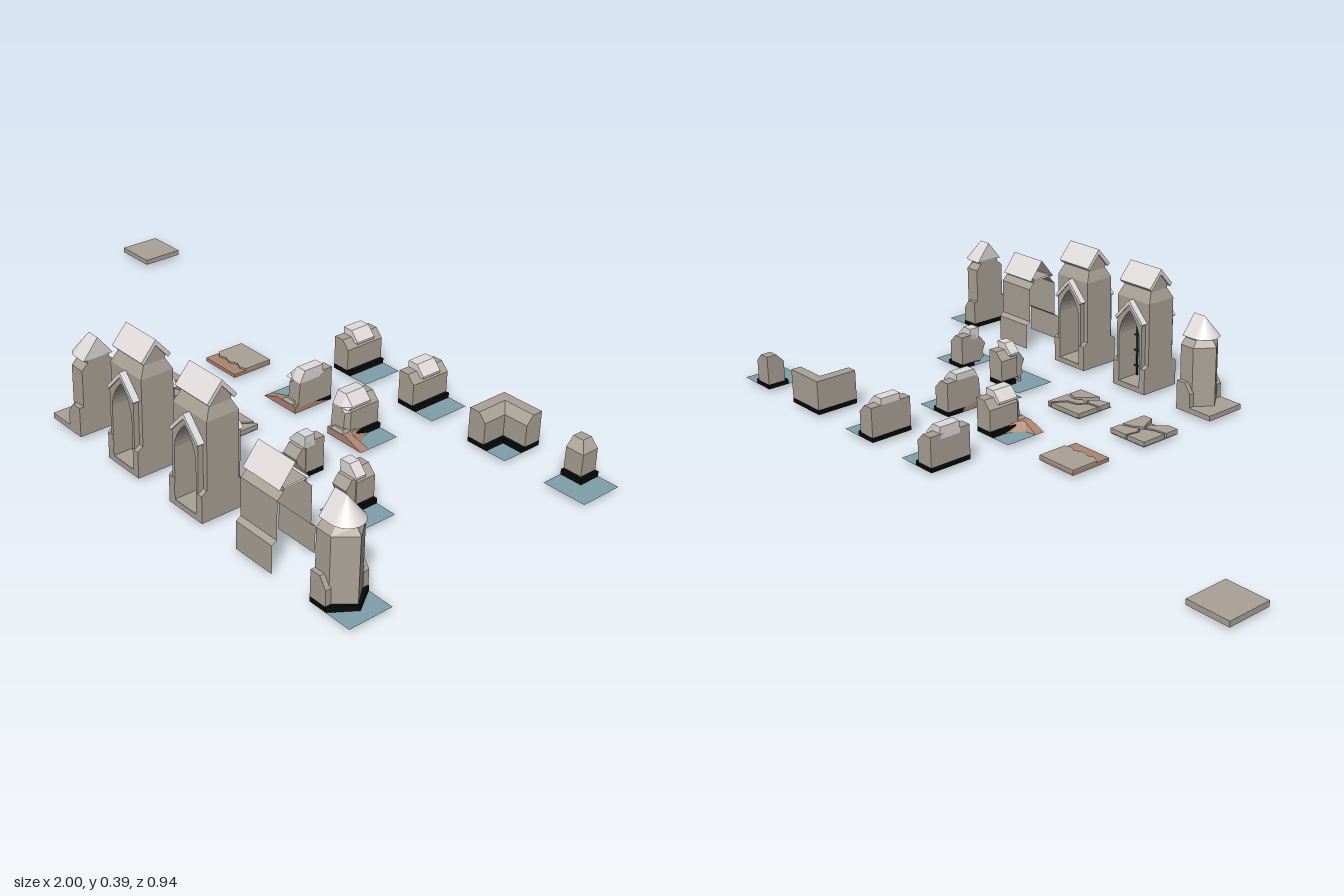
import * as THREE from 'three';

const H = 1 / 15; // half a tile
const mat = (color) => new THREE.MeshStandardMaterial({ color, flatShading: true, side: THREE.DoubleSide });
const stone = mat(0xaaa297), pale = mat(0xe2dcdc), black = mat(0x080808);
const water = mat(0x7f9faa), dirt = mat(0xac8570), iron = mat(0x2c2c2c);

function add(group, name, geometry, material = stone) {
  const mesh = new THREE.Mesh(geometry, material);
  mesh.name = name;
  group.add(mesh);
  return mesh;
}

// box given by its limits
function box(x0, x1, y0, y1, z0, z1) {
  return new THREE.BoxGeometry(x1 - x0, y1 - y0, z1 - z0)
    .translate((x0 + x1) / 2, (y0 + y1) / 2, (z0 + z1) / 2);
}

// skin through rings of [x, y, z] points
function loft(rings, { closed = true, bottom = true, top = true } = {}) {
  const out = [], n = rings[0].length;
  for (let r = 0; r < rings.length - 1; r++) {
    for (let i = 0; i < (closed ? n : n - 1); i++) {
      const j = (i + 1) % n, a = rings[r], b = rings[r + 1];
      out.push(...a[i], ...a[j], ...b[j], ...a[i], ...b[j], ...b[i]);
    }
  }
  const cap = (p) => {
    for (let i = 1; i < n - 1; i++) out.push(...p[0], ...p[i], ...p[i + 1]);
  };
  if (bottom) cap([...rings[0]].reverse());
  if (top) cap(rings[rings.length - 1]);
  const g = new THREE.BufferGeometry();
  g.setAttribute('position', new THREE.Float32BufferAttribute(out, 3));
  g.computeVertexNormals();
  return g;
}
const rect = (x0, x1, z0, z1, y) => [[x0, y, z1], [x1, y, z1], [x1, y, z0], [x0, y, z0]];
const ring = (points, y) => points.map(([x, z]) => [x, y, z]);

const shapeOf = (points) => new THREE.Shape(points.map(([x, y]) => new THREE.Vector2(x, y)));
const extrudeZ = (shape, z0, z1) =>
  new THREE.ExtrudeGeometry(shape, { depth: z1 - z0, bevelEnabled: false, curveSegments: 6 }).translate(0, 0, z0);
// profile of [z, y] points drawn out along x
const extrudeX = (points, x0, x1) =>
  extrudeZ(shapeOf(points.map(([z, y]) => [-z, y])), x0, x1).rotateY(Math.PI / 2);
// flat outline of [x, z] points with a thickness
const slab = (points, y0, y1) => loft([ring(points, y0), ring(points, y1)], { bottom: false, top: false });
function plate(points, y0, y1) {
  return extrudeZ(shapeOf(points.map(([x, z]) => [x, -z])), y0, y1).rotateX(-Math.PI / 2);
}

const sheet = (g, name, m, y = 0.011) => add(g, name, new THREE.PlaneGeometry(2 * H, 2 * H).rotateX(-Math.PI / 2).translate(0, y, 0), m);
const floor = (g, z1 = H) => add(g, 'floorSlab', loft([rect(-H, H, -H, z1, 0.011), rect(-H, H, -H, z1, 0.027)], { bottom: false }));

// low half wall along the left tile edge, with its merlon
const WALL = [[-H, 0.026], [-0.01, 0.026], [-0.01, 0.09], [-0.034, 0.115], [-H, 0.115]];
const MERLON = [[-H, 0.1], [-0.007, 0.1], [-0.007, 0.106], [-0.034, 0.135], [-H, 0.135]];
function wall(g, z0 = -H, z1 = H, m0 = -0.033, m1 = 0.033) {
  add(g, 'lowWall', extrudeZ(shapeOf(WALL), z0, z1));
  if (m1 > m0) add(g, 'merlon', extrudeZ(shapeOf(MERLON), m0, m1), pale);
}
const footing = (g, z1 = H) => add(g, 'wallFooting', box(-H, 0.001, 0.011, 0.026, -H, z1), black);

function straightWall(g) {
  sheet(g, 'water', water);
  footing(g);
  wall(g);
}

function cornerWall(g) {
  sheet(g, 'water', water);
  for (const flip of [false, true]) {
    const arm = new THREE.Group();
    arm.name = flip ? 'backArm' : 'sideArm';
    footing(arm);
    wall(arm, -H, H, 0, 0);
    if (flip) { arm.rotation.y = -Math.PI / 2; }
    g.add(arm);
  }
}

function cornerPost(g) {
  sheet(g, 'water', water);
  add(g, 'postFooting', box(-H, 0.001, 0.011, 0.026, -H, 0.001), black);
  add(g, 'post', loft([[-0.01, 0.026], [-0.01, 0.09], [-0.034, 0.115]].map(([e, y]) => rect(-H, e, -H, e, y))));
}

// wall whose foot runs out into earth
function wallToEarth(g) {
  sheet(g, 'water', water);
  footing(g, 0.02);
  wall(g, -H, 0.035, -0.033, 0.033);
  add(g, 'brokenEnd', loft([
    [[-H, 0.026, 0.035], [-0.01, 0.026, 0.035], [-0.01, 0.09, 0.035], [-0.034, 0.115, 0.035], [-H, 0.115, 0.035]],
    [[-H, 0.026, 0.055], [-0.02, 0.026, 0.052], [-0.02, 0.085, 0.048], [-0.04, 0.1, 0.048], [-H, 0.1, 0.05]]]));
  add(g, 'merlonEnd', loft([
    MERLON.map(([x, y]) => [x, y, 0.033]), MERLON.map(([x]) => [x, 0.1, 0.05])]), pale);
  add(g, 'earth', loft([
    ring([[-H, -0.06], [-0.01, -0.06], [0.008, 0], [0.03, 0.03], [H, 0.036], [H, H], [-H, H]], 0.011),
    ring([[-H, 0.02], [-0.02, 0.02], [-0.005, 0.03], [0.0, 0.04], [0.01, 0.045], [0.01, H], [-H, H]], 0.032)]), dirt);
  add(g, 'fallenStone', loft([rect(-0.055, -0.008, 0.02, 0.066, 0.011), rect(-0.055, -0.008, 0.015, H, 0.03), rect(-0.05, -0.015, 0.02, 0.058, 0.04)]));
}

// wall broken off at its free end, over water
function ruinedWall(g) {
  sheet(g, 'water', water);
  footing(g, -0.02);
  wall(g, -H, -0.005, -0.033, 0);
  add(g, 'brokenEnd', extrudeX([[-0.03, 0.026], [0.004, 0.022], [0.02, 0.032], [0.016, 0.05], [0.027, 0.075], [0.008, 0.1], [-0.03, 0.108]], -H + 0.002, -0.014));
  add(g, 'fallenStone', new THREE.DodecahedronGeometry(0.013).translate(-0.035, 0.0125, 0.014));
  add(g, 'smallStone', new THREE.DodecahedronGeometry(0.008).translate(-0.012, 0.012, 0.002));
}

// floor broken into separate pieces
function crackedFloor(g, under, pieces) {
  sheet(g, under === water ? 'water' : 'earth', under);
  for (const p of pieces) add(g, 'floorPiece', plate(p, 0.013, 0.027));
}

function earthEdge(g) {
  add(g, 'floorSlab', plate([[-H, -H], [H, -H], [H, 0.024], [0.045, 0.032], [0.025, 0.022], [0, 0.034], [-0.025, 0.026], [-0.045, 0.034], [-H, 0.02]], 0.02, 0.027));
  add(g, 'earth', loft([rect(-H, H, -H, H, 0.011), rect(-H, H, -H, H, 0.022)], { bottom: false }), dirt);
}

// tall hall section: [z, y] half profile mirrored, open ends and underside
const mirror = (half) => [...half, ...half.map(([z, y]) => [-z, y]).reverse()];
const HALL = mirror([[0.067, 0.011], [0.067, 0.09], [0.053, 0.1], [0.053, 0.208], [0.035, 0.226], [0.035, 0.238]]);
const ROOF = [[0.047, 0.234], [0, 0.293], [-0.047, 0.234]];
function hall(g) {
  const skin = (p) => loft([-H, H].map((x) => p.map(([z, y]) => [x, y, z])), { closed: false, bottom: false, top: false });
  add(g, 'hallWalls', skin(HALL));
  add(g, 'hallRoof', skin([...ROOF, ROOF[0]]), pale);
}

// pointed end of the hall with a half-cone roof
function hallEnd(g, overWater) {
  const plan = (w, s, tip) => [[-H, w], [s, w], [tip, 0], [s, -w], [-H, -w]];
  if (overWater) {
    sheet(g, 'water', water);
    add(g, 'endFooting', loft([0.011, 0.026].map((y) => ring(plan(H, -0.012, 0.032), y))), black);
  } else floor(g);
  add(g, 'endBody', loft([
    ring(plan(0.053, -0.018, 0.024), 0.026), ring(plan(0.053, -0.018, 0.024), 0.208),
    ring(plan(0.035, -0.024, 0.01), 0.226), ring(plan(0.035, -0.024, 0.01), 0.238)]));
  for (const s of [1, -1]) {
    add(g, 'plinthEnd', extrudeZ(shapeOf([[-H, 0.026], [-0.014, 0.026], [-0.014, 0.07], [-0.035, 0.1], [-H, 0.1]]),
      s > 0 ? 0.05 : -H, s > 0 ? H : -0.05));
  }
  add(g, 'roofRidge', extrudeX(ROOF, -H, -0.026), pale);
  const smooth = new THREE.MeshStandardMaterial({ color: 0xe2dcdc, side: THREE.DoubleSide });
  add(g, 'roofCone', new THREE.ConeGeometry(0.047, 0.059, 20, 1, false, 0, Math.PI).translate(-0.026, 0.2635, 0), smooth);
}

// gatehouse with a pointed passage
function archHole() {
  const p = new THREE.Path();
  p.moveTo(-0.043, 0.028);
  p.lineTo(0.043, 0.028);
  p.lineTo(0.043, 0.18);
  p.quadraticCurveTo(0.038, 0.225, 0, 0.262);
  p.quadraticCurveTo(-0.038, 0.225, -0.043, 0.18);
  p.closePath();
  return p;
}
function gatehouse(g, barred) {
  floor(g);
  const core = shapeOf([[-H, 0.027], [H, 0.027], [H, 0.294], [-H, 0.294]]);
  const porch = shapeOf([[-0.052, 0.027], [0.052, 0.027], [0.052, 0.23], [0, 0.285], [-0.052, 0.23]]);
  core.holes.push(archHole());
  porch.holes.push(archHole());
  add(g, 'gateBody', extrudeZ(core, -0.05, 0.05));
  add(g, 'porch', extrudeZ(porch, -0.066, 0.066));
  add(g, 'porchRoof', extrudeZ(shapeOf([[-0.059, 0.232], [0, 0.295], [0.059, 0.232], [0.052, 0.226], [0, 0.281], [-0.052, 0.226]]), -0.07, 0.07), pale);
  for (const s of [1, -1]) {
    const x0 = s > 0 ? 0.044 : -H, x1 = s > 0 ? H : -0.044;
    add(g, 'gatePlinth', loft([rect(x0, x1, -H, H, 0.011), rect(x0, x1, -H, H, 0.09), rect(x0, x1, -0.052, 0.052, 0.1)]));
  }
  add(g, 'towerNeck', loft([rect(-H, H, -0.05, 0.05, 0.294), rect(-0.056, 0.056, -0.034, 0.034, 0.325), rect(-0.056, 0.056, -0.034, 0.034, 0.34)]));
  add(g, 'towerGable', extrudeX([[0.034, 0.335], [0, 0.376], [-0.034, 0.335]], -0.058, 0.058));
  add(g, 'towerRoof', extrudeX([[0.046, 0.339], [0, 0.392], [-0.046, 0.339], [-0.038, 0.331], [0, 0.375], [0.038, 0.331]], -0.064, 0.064), pale);
  if (!barred) return;
  for (let i = -2; i <= 2; i++) {
    const x = i * 0.0155, top = 0.255 - Math.abs(i) * 0.022;
    add(g, 'gateBar', box(x - 0.0022, x + 0.0022, 0.03, top, -0.0022, 0.0022), iron);
  }
  for (const y of [0.06, 0.11, 0.16]) add(g, 'gateCrossbar', box(-0.043, 0.043, y - 0.002, y + 0.002, -0.002, 0.002), iron);
}

const CRACK_A = [
  [[-H, -H], [0.0, -H], [-0.008, -0.03], [0.004, -0.006], [-0.03, 0.01], [-H, 0.014]],
  [[0.006, -H], [H, -H], [H, -0.03], [0.03, -0.018], [0.01, -0.008], [-0.002, -0.03]],
  [[H, -0.02], [H, H], [0.035, H], [0.02, 0.03], [0.006, 0.008], [0.032, -0.01]],
  [[-H, 0.022], [-0.028, 0.017], [0, 0.008], [0.008, 0.03], [-0.012, 0.042], [-0.03, H], [-H, H]]];
const CRACK_B = [
  [[-H, -H], [0.05, -H], [0.025, -0.03], [-0.01, -0.022], [-0.03, 0.005], [-H, 0.01]],
  [[0.058, -H], [H, -H], [H, 0.012], [0.03, 0.0], [0.0, 0.018], [-0.022, 0.006], [-0.005, -0.015], [0.03, -0.022]],
  [[-H, 0.018], [-0.03, 0.012], [-0.008, 0.024], [-0.03, 0.05], [-H, 0.058]],
  [[H, 0.02], [H, H], [-0.015, H], [0.01, 0.035], [0.032, 0.01]]];

export function createModel() {
  const root = new THREE.Group();
  root.name = 'buildingTiles';
  const tile = (name, col, row, build, flip) => {
    const g = new THREE.Group();
    g.name = name;
    g.position.set(col * 4 / 15 + 2 / 15, 0, row * 4 / 15 + 2 / 15);
    if (flip) g.scale.x = -1;
    build(g);
    root.add(g);
  };
  tile('floorTile', -4, -2, (g) => floor(g));
  tile('wallTileA', 0, -2, straightWall);
  tile('wallTileB', 1, -2, straightWall);
  tile('cornerWallTile', 2, -2, cornerWall);
  tile('cornerPostTile', 3, -2, cornerPost);
  tile('floorToEarthTile', -1, -1, earthEdge);
  tile('wallToEarthRight', 0, -1, wallToEarth, true);
  tile('wallToEarthLeft', 1, -1, wallToEarth);
  tile('crackedFloorOverWater', -1, 0, (g) => crackedFloor(g, water, CRACK_A));
  tile('crackedFloorOverEarth', 0, 0, (g) => crackedFloor(g, dirt, CRACK_B));
  tile('ruinedWallRight', 1, 0, ruinedWall, true);
  tile('ruinedWallLeft', 2, 0, ruinedWall);
  tile('hallEndOnFloor', -1, 1, (g) => hallEnd(g, false), true);
  tile('barredGatehouse', 0, 1, (g) => gatehouse(g, true));
  tile('openGatehouse', 1, 1, (g) => gatehouse(g, false));
  tile('hallTile', 2, 1, hall);
  tile('hallEndOverWater', 3, 1, (g) => hallEnd(g, true));
  return root;
}
